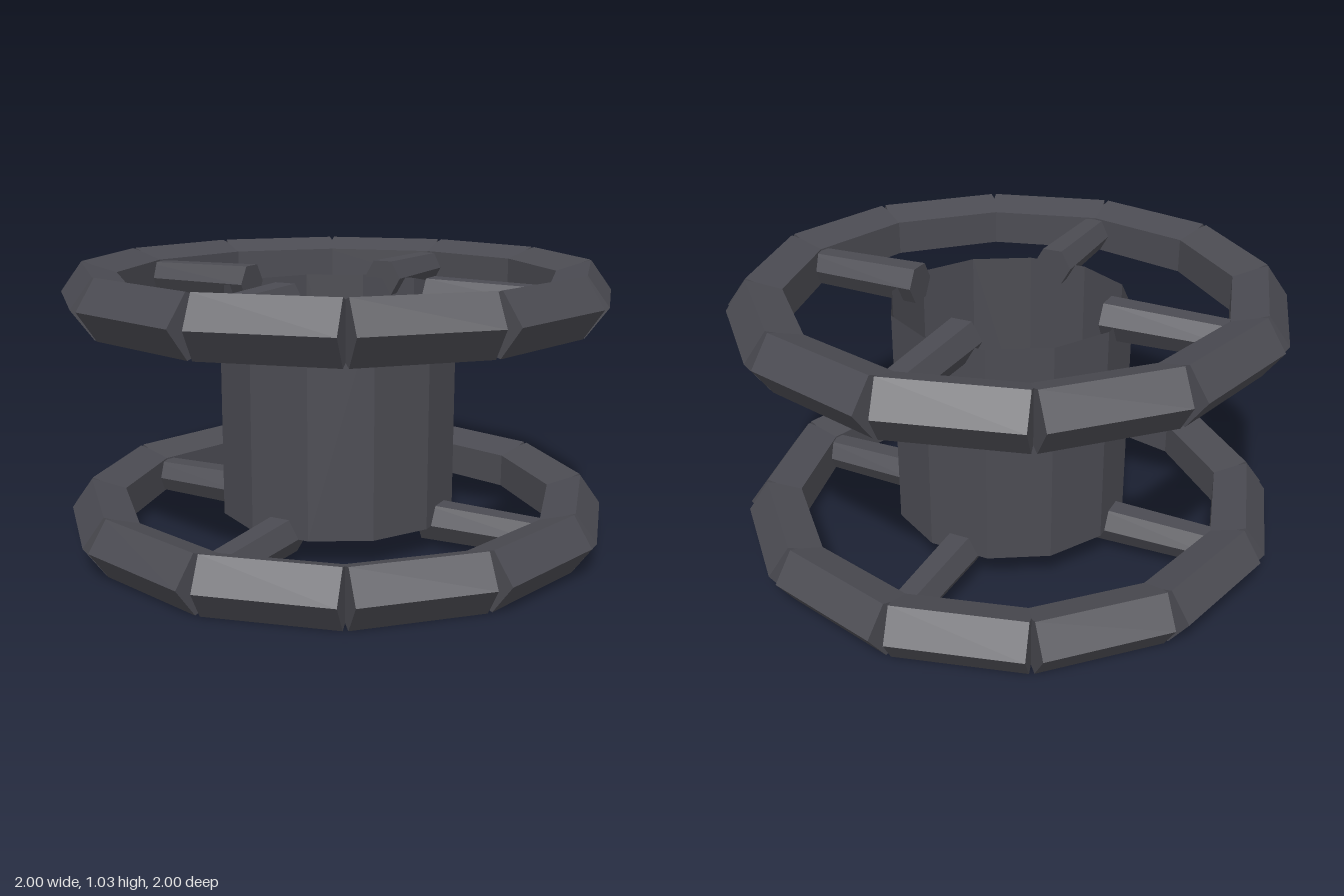
import * as THREE from 'three';

const SIDES = 12;
const RING_RADIUS = 0.894; // where neighbouring segments meet
const TUBE_RADIUS = 0.11;
const LOW = 0.105, HIGH = 0.925; // heights of the two rings

export function createModel() {
  const model = new THREE.Group();
  model.name = 'doubleRingHub';
  const metal = new THREE.MeshStandardMaterial({ color: 0x4b4b52 });
  metal.name = 'darkMetal';
  metal.flatShading = true;
  const shell = metal.clone();
  shell.name = 'darkMetalShell';
  shell.side = THREE.DoubleSide;

  // Ring segment: five-sided bar with one edge pointing outward (+z)
  const half = Math.PI / SIDES;
  const segmentGeo = new THREE.CylinderGeometry(
    TUBE_RADIUS, TUBE_RADIUS, 2 * RING_RADIUS * Math.sin(half), 5);
  segmentGeo.rotateZ(Math.PI / 2);
  segmentGeo.translate(0, 0, RING_RADIUS * Math.cos(half));

  // Spoke: six-sided bar, flat on top, slightly thicker at the hub
  const inner = 0.37, outer = 0.86;
  const spokeGeo = new THREE.CylinderGeometry(0.067, 0.076, outer - inner, 6);
  spokeGeo.rotateY(Math.PI / 6);
  spokeGeo.rotateX(Math.PI / 2);
  spokeGeo.translate(0, 0, (inner + outer) / 2);

  const addAround = (parent, geometry, name, count, start) => {
    for (let i = 0; i < count; i++) {
      const mesh = new THREE.Mesh(geometry, metal);
      mesh.name = name + (i + 1);
      mesh.rotation.y = start + (i * 2 * Math.PI) / count;
      parent.add(mesh);
    }
  };

  // Two identical rings with four spokes each
  for (const [name, y] of [['lowerRing', LOW], ['upperRing', HIGH]]) {
    const ring = new THREE.Group();
    ring.name = name;
    ring.position.y = y;
    addAround(ring, segmentGeo, 'ringSegment', SIDES, half);
    addAround(ring, spokeGeo, 'spoke', 4, 0);
    model.add(ring);
  }

  // Open, thin-walled hub between the ring centres
  const hubGeo = new THREE.CylinderGeometry(0.438, 0.438, HIGH - LOW, SIDES, 1, true);
  hubGeo.rotateY(half);
  const hub = new THREE.Mesh(hubGeo, shell);
  hub.name = 'hub';
  hub.position.y = (LOW + HIGH) / 2;
  model.add(hub);

  return model;
}
